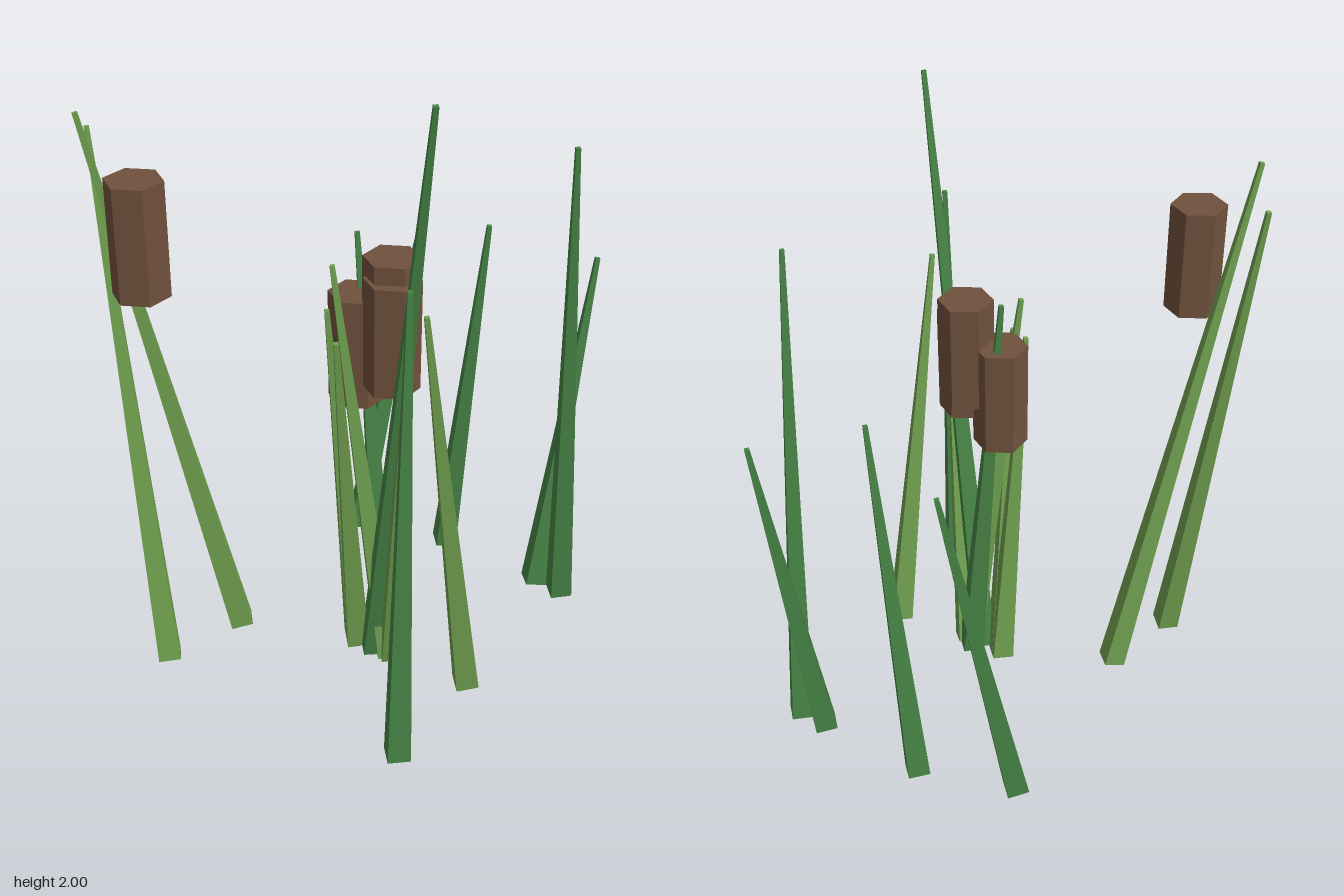
import * as THREE from 'three';

const leafGreen = new THREE.MeshStandardMaterial({ color: 0x6f9f4f });
leafGreen.name = 'leafGreen';
const deepGreen = new THREE.MeshStandardMaterial({ color: 0x478446 });
deepGreen.name = 'deepGreen';
const seedBrown = new THREE.MeshStandardMaterial({ color: 0x70513d });
seedBrown.name = 'seedBrown';
for (const m of [leafGreen, deepGreen, seedBrown]) m.flatShading = true;

// Reed blades: base x, z, then tip x, y, z
const lightBlades = [
  [-0.32, 0.565, -0.57, 1.75, 0.49],
  [-0.25, 0.29, -0.49, 1.84, 0.6],
  [0.515, 0.09, 0.475, 1.4, 0.305],
  [0.1, 0.115, 0.075, 1.26, 0.225],
  [0.23, 0.12, 0.085, 1.4, 0.212],
  [0.115, 0.13, 0.172, 1.22, 0.307],
  [0.245, 0.12, 0.44, 1.31, 0.335],
];
const darkBlades = [
  [-0.274, -0.39, -0.15, 1.26, -0.6],
  [0.036, -0.495, 0.178, 1.3, -0.47],
  [0.415, -0.49, 0.475, 1.21, -0.64],
  [0.515, -0.49, 0.54, 1.69, -0.335],
  [0.53, 0.48, 0.52, 1.55, 0.45],
  [0.21, 0.095, 0.07, 1.45, 0.075],
  [0.18, 0.13, 0.502, 2.0, 0.33],
];

// Seed heads: x, centre y, z
const heads = [
  [-0.32, 1.5, 0.565],
  [0.1, 1.105, 0.115],
  [0.21, 1.242, 0.095],
  [0.23, 1.187, 0.12],
];

// A four-sided tapered blade leaning from its base to its tip
function blade([bx, bz, tx, ty, tz], material) {
  const base = new THREE.Vector3(bx, 0.008, bz);
  const tip = new THREE.Vector3(tx, ty - 0.002, tz);
  const dir = tip.clone().sub(base);
  const mesh = new THREE.Mesh(new THREE.CylinderGeometry(0.01, 0.05, dir.length(), 4), material);
  mesh.position.copy(base).add(tip).multiplyScalar(0.5);
  mesh.quaternion.setFromUnitVectors(new THREE.Vector3(0, 1, 0), dir.normalize());
  mesh.name = 'reedBlade';
  return mesh;
}

export function createModel() {
  const group = new THREE.Group();
  group.name = 'reeds';
  for (const b of lightBlades) group.add(blade(b, leafGreen));
  for (const b of darkBlades) group.add(blade(b, deepGreen));

  // Upright six-sided seed heads
  const headGeometry = new THREE.CylinderGeometry(0.086, 0.086, 0.35, 6);
  for (const [x, y, z] of heads) {
    const head = new THREE.Mesh(headGeometry, seedBrown);
    head.position.set(x, y, z);
    head.name = 'seedHead';
    group.add(head);
  }
  return group;
}
